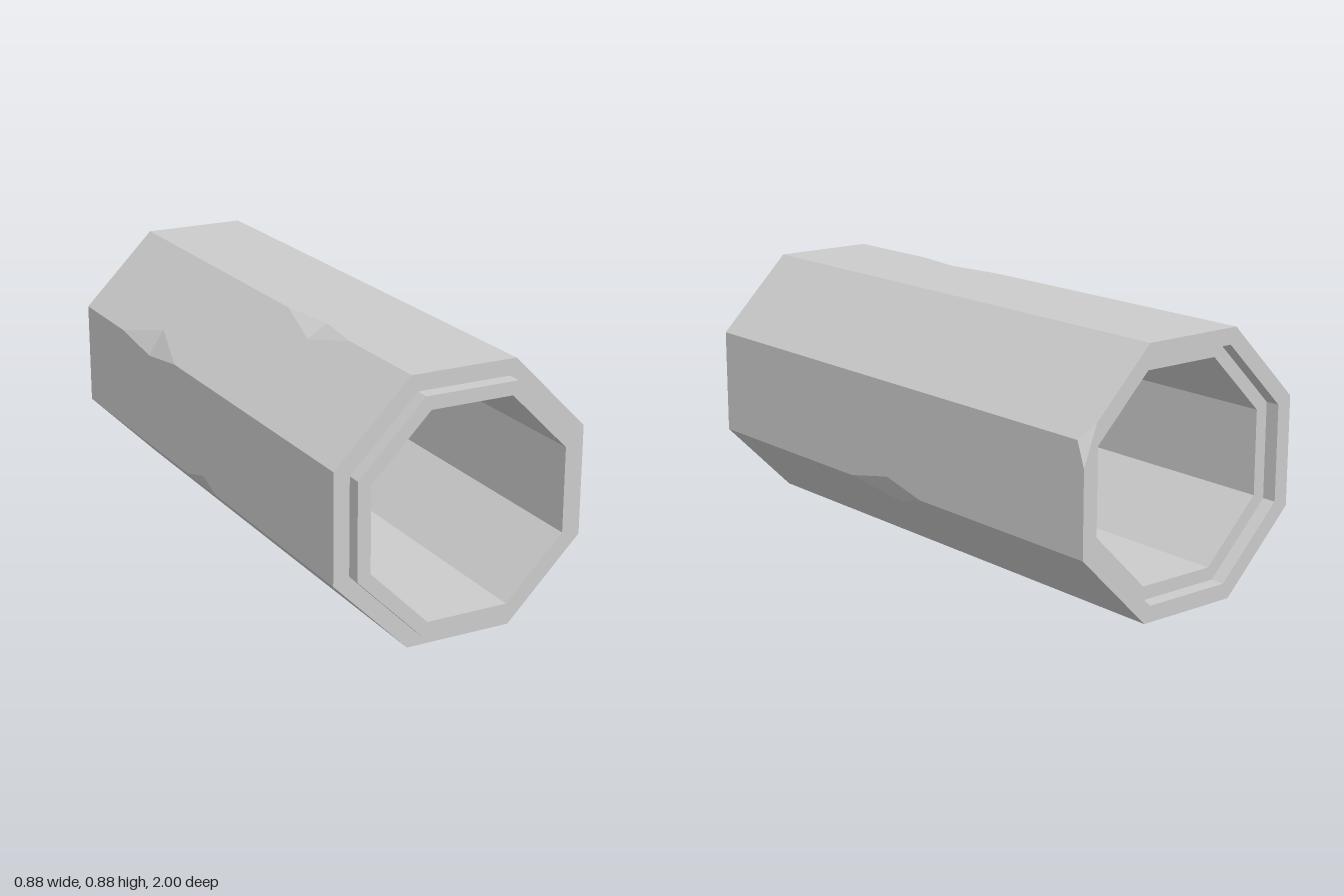
import * as THREE from 'three';

const APOTHEM = 0.442, SPIGOT = 0.388, BORE = 0.343;
const FRONT = 0.95, BACK = -1;
const SIDE = 2 * APOTHEM * Math.tan(Math.PI / 8);

// Chips along the outer edges: z range, z of the widest point, and how far
// the chip reaches across the next face (a) and the previous face (b).
const chips = {
  0: { z0: -0.21, z1: 0.17, zp: -0.03, a: 0.04, b: 0.078 },
  1: { z0: BACK, z1: -0.97, zp: BACK, a: 0.07, b: 0.082 },
  3: { z0: 0.15, z1: 0.57, zp: 0.37, a: 0.06, b: 0.028 },
  4: { z0: -0.66, z1: -0.2, zp: -0.42, a: 0.03, b: 0.08 },
  5: { z0: -0.11, z1: 0.12, zp: 0.02, a: 0.05, b: 0.035 },
};

// Corner k of an octagon, counted counterclockwise from the lower +x corner
function corner(k, apothem, z) {
  const r = apothem / Math.cos(Math.PI / 8);
  const t = (k - 0.5) * Math.PI / 4;
  return new THREE.Vector3(r * Math.cos(t), APOTHEM + r * Math.sin(t), z);
}

// Point on outer face k at distance u from its first corner
function onFace(k, u, z) {
  return corner(k, APOTHEM, z).lerp(corner(k + 1, APOTHEM, z), u / SIDE);
}

// Outline of one long edge of a face, from front to back, with its chip
function edgeLine(chip, reach) {
  const pts = [[0, FRONT]];
  if (chip) {
    pts.push([0, chip.z1], [reach, chip.zp]);
    if (chip.zp === BACK) return pts;
    pts.push([0, chip.z0]);
  }
  pts.push([0, BACK]);
  return pts;
}

function flatMesh(name, points, material) {
  const geometry = new THREE.BufferGeometry().setFromPoints(points);
  geometry.computeVertexNormals();
  const mesh = new THREE.Mesh(geometry, material);
  mesh.name = name;
  return mesh;
}

export function createModel() {
  const group = new THREE.Group();
  group.name = 'octagonalPipe';
  const material = new THREE.MeshStandardMaterial({ color: 0xcccccc, flatShading: true });

  // Outer wall: eight long faces notched by the chips
  const wall = [];
  const chipFaces = [];
  const rim = [];
  for (let k = 0; k < 8; k++) {
    const chip = chips[k], next = chips[(k + 1) % 8];
    const start = edgeLine(chip, chip?.a);
    const end = edgeLine(next, next?.b).reverse().map(([u, z]) => [SIDE - u, z]);
    const outline = [...start, ...end].map(([u, z]) => new THREE.Vector2(u, z));
    for (const tri of THREE.ShapeUtils.triangulateShape(outline, [])) {
      for (const i of tri) wall.push(onFace(k, outline[i].x, outline[i].y));
    }

    // Broken surfaces inside each chip
    if (chip) {
      const p = onFace(k, chip.a, chip.zp);
      const q = onFace(k + 7, SIDE - chip.b, chip.zp);
      chipFaces.push(corner(k, APOTHEM, chip.z1), q, p);
      if (chip.zp !== BACK) chipFaces.push(q, corner(k, APOTHEM, chip.z0), p);
    }

    // Back rim outline, clipped where a chip reaches the end
    if (chip && chip.zp === BACK) rim.push(onFace(k + 7, SIDE - chip.b, BACK), onFace(k, chip.a, BACK));
    else rim.push(corner(k, APOTHEM, BACK));
  }
  group.add(flatMesh('outerWall', wall, material));
  group.add(flatMesh('edgeChips', chipFaces, material));

  // Back rim around the socket
  const rimShape = new THREE.Shape(rim.map((p) => new THREE.Vector2(p.x, p.y)));
  const opening = Array.from({ length: 8 }, (_, k) => corner(k, SPIGOT, BACK));
  rimShape.holes.push(new THREE.Path(opening.map((p) => new THREE.Vector2(p.x, p.y))));
  const rimGeometry = new THREE.ShapeGeometry(rimShape);
  rimGeometry.rotateY(Math.PI).scale(-1, 1, 1); // face backwards, then restore x
  const index = rimGeometry.index.array;
  for (let i = 0; i < index.length; i += 3) {
    [index[i], index[i + 1]] = [index[i + 1], index[i]];
  }
  rimGeometry.translate(0, 0, BACK);
  const backRim = new THREE.Mesh(rimGeometry.toNonIndexed(), material);
  backRim.geometry.computeVertexNormals();
  backRim.name = 'backRim';
  group.add(backRim);

  // Rings of [apothem, z] joined into eight-sided bands
  const bands = (name, rings) => {
    const pts = [];
    for (let j = 0; j + 1 < rings.length; j++) {
      for (let k = 0; k < 8; k++) {
        const a = corner(k, ...rings[j]), b = corner(k + 1, ...rings[j]);
        const c = corner(k + 1, ...rings[j + 1]), d = corner(k, ...rings[j + 1]);
        pts.push(a, b, c, a, c, d);
      }
    }
    group.add(flatMesh(name, pts, material));
  };
  bands('frontSpigot', [[APOTHEM, FRONT], [SPIGOT, FRONT], [SPIGOT, 1], [BORE, 1]]);
  bands('innerBore', [[BORE, 1], [BORE, -0.95]]);
  bands('backSocket', [[BORE, -0.95], [SPIGOT, -0.95], [SPIGOT, BACK]]);

  return group;
}
